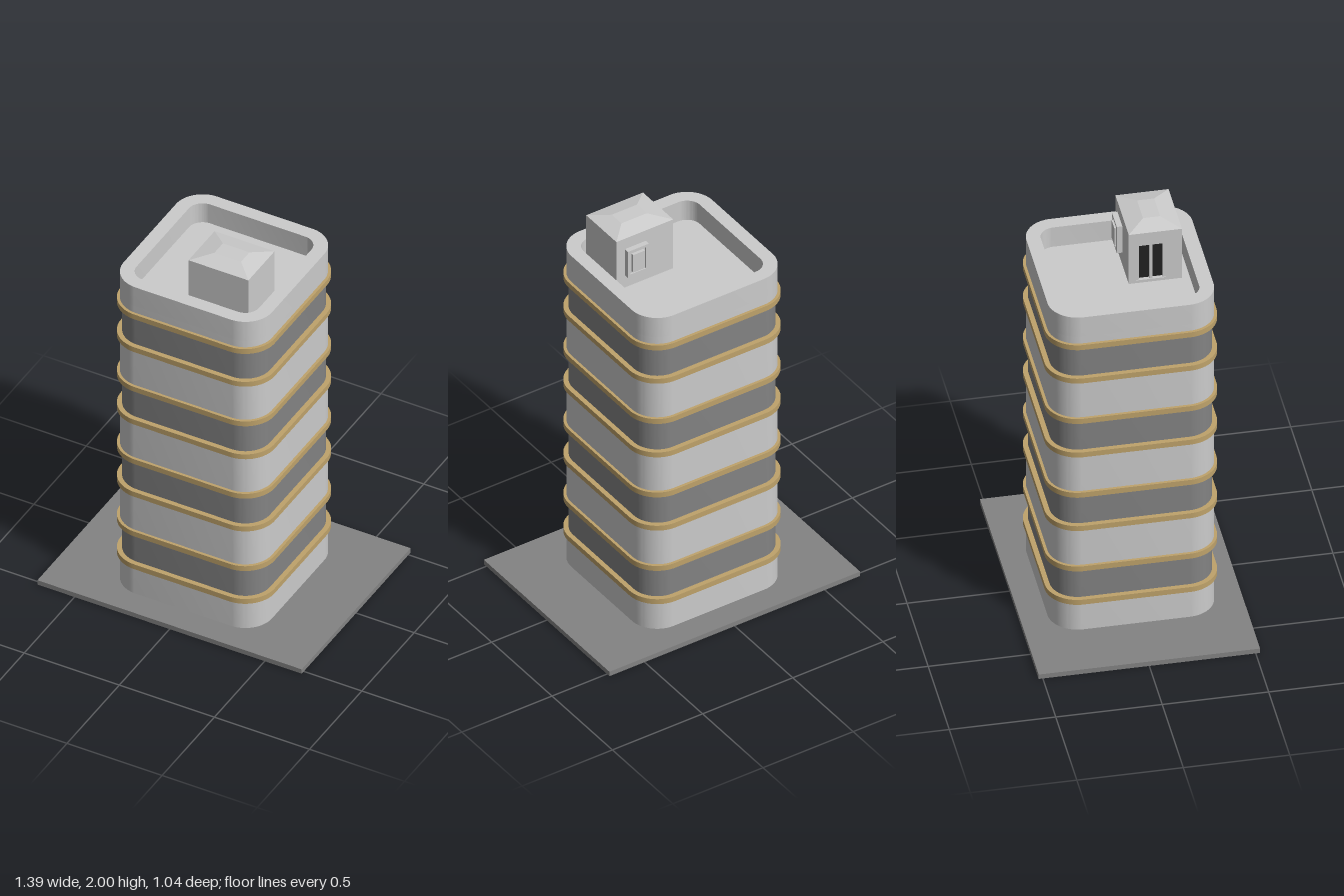
import * as THREE from 'three';
import { toCreasedNormals } from 'three/addons/utils/BufferGeometryUtils.js';

const grey = new THREE.MeshStandardMaterial({ color: 0xcccccc });
const darkGrey = new THREE.MeshStandardMaterial({ color: 0x838383 });
const bronze = new THREE.MeshStandardMaterial({ color: 0xbfa36b });
const black = new THREE.MeshStandardMaterial({ color: 0x222222 });

// Square outline with rounded corners, half-width h and corner radius r
function roundedSquare(h, r, Type = THREE.Shape) {
  const s = new Type();
  s.absarc(h - r, h - r, r, 0, Math.PI / 2);
  s.absarc(r - h, h - r, r, Math.PI / 2, Math.PI);
  s.absarc(r - h, r - h, r, Math.PI, Math.PI * 1.5);
  s.absarc(h - r, r - h, r, Math.PI * 1.5, Math.PI * 2);
  s.closePath();
  return s;
}

function rectangle(x0, y0, x1, y1, Type = THREE.Shape) {
  return new Type([[x0, y0], [x1, y0], [x1, y1], [x0, y1]].map(p => new THREE.Vector2(...p)));
}

function addMesh(parent, name, geometry, material) {
  const mesh = new THREE.Mesh(geometry, material);
  mesh.name = name;
  parent.add(mesh);
  return mesh;
}

// Horizontal slab of a rounded outline between two heights
function addSlab(parent, name, shape, y0, y1, material) {
  let g = new THREE.ExtrudeGeometry(shape, { depth: y1 - y0, bevelEnabled: false, curveSegments: 12 });
  g.rotateX(-Math.PI / 2).translate(0, y0, 0);
  return addMesh(parent, name, toCreasedNormals(g, 0.5), material);
}

function addBox(parent, name, [x0, x1], [y0, y1], [z0, z1], material = grey) {
  const g = new THREE.BoxGeometry(x1 - x0, y1 - y0, z1 - z0);
  g.translate((x0 + x1) / 2, (y0 + y1) / 2, (z0 + z1) / 2);
  return addMesh(parent, name, g, material);
}

// Low hipped roof with a small flat top
function hippedRoof(low, high) {
  const ring = ([x0, x1, y, z0, z1]) => [x0, y, z1, x1, y, z1, x1, y, z0, x0, y, z0];
  const index = [4, 5, 6, 4, 6, 7];
  for (let i = 0; i < 4; i++) {
    const j = (i + 1) % 4;
    index.push(i, j, j + 4, i, j + 4, i + 4);
  }
  const g = new THREE.BufferGeometry();
  g.setAttribute('position', new THREE.Float32BufferAttribute([...ring(low), ...ring(high)], 3));
  g.setIndex(index);
  const flat = g.toNonIndexed();
  flat.computeVertexNormals();
  return flat;
}

export function createModel() {
  const model = new THREE.Group();
  model.name = 'towerBlock';
  const ground = 0.025, floor = 1.7, top = 1.81;

  addBox(model, 'basePlate', [-0.695, 0.695], [0, ground], [-0.52, 0.52], darkGrey);

  // Alternating storeys: solid light bands and set-back dark bands, with trims at each joint
  const joints = [0.191, 0.382, 0.613, 0.804, 1.034, 1.226, 1.457, 1.648];
  const levels = [ground, ...joints, floor];
  const trims = new THREE.Group();
  trims.name = 'trims';
  model.add(trims);
  for (let i = 0; i < levels.length - 1; i++) {
    const dark = i % 2 === 1;
    addSlab(model, dark ? 'windowBand' : 'wallBand', roundedSquare(dark ? 0.38 : 0.39, dark ? 0.13 : 0.14),
      levels[i], levels[i + 1], dark ? darkGrey : grey);
  }
  for (const y of joints) {
    const ring = roundedSquare(0.404, 0.154);
    ring.holes.push(roundedSquare(0.37, 0.12, THREE.Path));
    addSlab(trims, 'trim', ring, y - 0.014, y + 0.014, bronze);
  }

  // Parapet around the sunken roof deck
  const parapet = roundedSquare(0.39, 0.14);
  parapet.holes.push(roundedSquare(0.322, 0.072, THREE.Path));
  addSlab(model, 'parapet', parapet, floor, top, grey);

  // Rooftop stair house, with the doorway cut through its side wall
  const house = new THREE.Group();
  house.name = 'stairHouse';
  model.add(house);
  const [x0, x1, z0, z1, eave] = [-0.03, 0.285, 0.035, 0.285, 1.98];
  const wallDepth = 0.025;
  addBox(house, 'houseBody', [x0 + wallDepth, x1], [floor, eave], [z0, z1]);
  const wall = rectangle(-z1, floor, -z0, eave);
  wall.holes.push(rectangle(-0.21, floor + 0.015, -0.07, 1.91, THREE.Path));
  const wallGeometry = new THREE.ExtrudeGeometry(wall, { depth: wallDepth, bevelEnabled: false });
  wallGeometry.rotateY(Math.PI / 2).translate(x0, 0, 0);
  addMesh(house, 'doorWall', wallGeometry, grey);
  addMesh(house, 'houseRoof', hippedRoof([x0, x1, eave, z0, z1], [0.06, 0.2, 2, 0.12, 0.2]), grey);

  // Double door: dark panes between light posts
  const doorY = [floor + 0.015, 1.91];
  addBox(house, 'doorPanes', [x0 + 0.018, x0 + 0.026], doorY, [0.07, 0.21], black);
  for (const z of [0.077, 0.14, 0.203]) {
    addBox(house, 'doorPost', [x0 + 0.004, x0 + 0.024], doorY, [z - 0.007, z + 0.007]);
  }

  // Framed vent on the back wall
  const frame = rectangle(0.122, 1.77, 0.238, 1.92);
  frame.holes.push(rectangle(0.137, 1.785, 0.223, 1.905, THREE.Path));
  const frameGeometry = new THREE.ExtrudeGeometry(frame, { depth: 0.027, bevelEnabled: false });
  frameGeometry.translate(0, 0, 0.009);
  addMesh(house, 'ventFrame', frameGeometry, grey);
  addBox(house, 'ventBack', [0.13, 0.23], [1.778, 1.912], [0.018, 0.036]);
  addBox(house, 'ventPanel', [0.147, 0.213], [1.795, 1.895], [0.003, 0.03]);

  return model;
}
